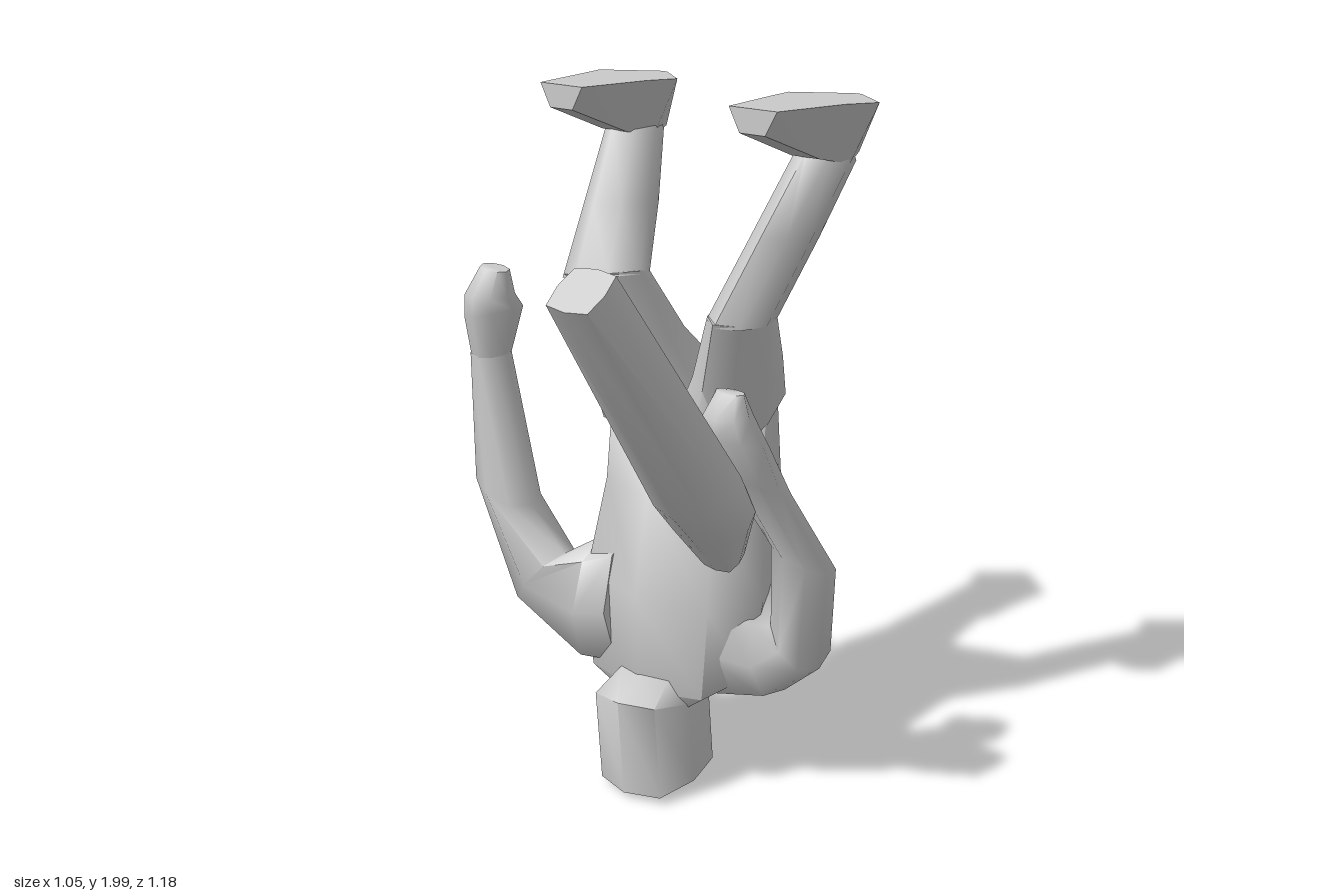
import * as THREE from 'three';
import { toCreasedNormals } from 'three/addons/utils/BufferGeometryUtils.js';

const material = new THREE.MeshStandardMaterial({ color: 0xcccccc });

// Octagonal ring around a centre, spanned by half vectors u and v; corner sets how boxy it is
function ring(c, u, v, corner) {
  return Array.from({ length: 8 }, (_, i) => {
    const a = (i * Math.PI) / 4;
    const k = i % 2 ? corner / Math.SQRT1_2 : 1;
    return c.map((n, j) => n + k * (Math.cos(a) * u[j] + Math.sin(a) * v[j]));
  });
}

// Ring from its two side points (xa, ya), (xb, yb), its z centre, half depth, slope dy/dz and own corner
function section(corner, [xa, ya, xb, yb, z, rz, slope = 0, c = corner]) {
  return ring([(xa + xb) / 2, (ya + yb) / 2, z], [(xb - xa) / 2, (yb - ya) / 2, 0], [0, slope * rz, rz], c);
}

// Skin a row of rings, close both ends and turn the faces outward
function loft(name, rings, crease = 1.15) {
  const n = rings[0].length;
  const tris = [];
  const mid = (r) => [0, 1, 2].map((j) => r.reduce((s, p) => s + p[j], 0) / n);
  const first = rings[0];
  const last = rings[rings.length - 1];
  const m0 = mid(first);
  const m1 = mid(last);
  for (let i = 0; i < n; i++) {
    const k = (i + 1) % n;
    for (let r = 0; r < rings.length - 1; r++) {
      const [a, b] = [rings[r], rings[r + 1]];
      tris.push([a[i], a[k], b[k]], [a[i], b[k], b[i]]);
    }
    tris.push([m0, first[k], first[i]], [m1, last[i], last[k]]);
  }
  const volume = tris.reduce((s, [a, b, c]) =>
    s + new THREE.Vector3(...a).dot(new THREE.Vector3(...b).cross(new THREE.Vector3(...c))), 0);
  if (volume < 0) tris.forEach((t) => t.reverse());
  const geometry = new THREE.BufferGeometry();
  geometry.setAttribute('position', new THREE.Float32BufferAttribute(tris.flat(2), 3));
  const mesh = new THREE.Mesh(toCreasedNormals(geometry, crease), material);
  mesh.name = name;
  return mesh;
}

const limb = (name, rows, corner = 0.73) => loft(name, rows.map((r) => section(corner, r)));

// Foot: trapezoid slices along z, with the wide sole facing up
function foot(name, x, toeX) {
  const slices = [
    // z, x, sole half width, instep half width, instep height, sole height
    [-0.125, toeX, 0.075, 0.04, 1.935, 2.0],
    [-0.36, (x + toeX) / 2, 0.115, 0.045, 1.845, 1.995],
    [-0.47, x, 0.143, 0.06, 1.82, 1.99],
    [-0.59, x, 0.012, 0.012, 1.83, 1.985],
  ];
  return loft(name, slices.map(([z, cx, w, b, lo, hi]) =>
    [[cx - w, hi, z], [cx + w, hi, z], [cx + b, lo, z], [cx - b, lo, z]]), 0.95);
}

export function createModel() {
  const group = new THREE.Group();

  // Upside-down head and torso
  group.add(
    limb('head', [
      [0.0, 0.008, 0.12, 0.008, -0.07, 0.05],
      [-0.065, 0.04, 0.205, 0.045, -0.105, 0.158, -0.1],
      [-0.07, 0.28, 0.2, 0.3, -0.085, 0.16, 0.2],
      [-0.04, 0.37, 0.17, 0.37, -0.13, 0.1],
    ], 0.8),
    limb('torso', [
      [-0.08, 0.29, 0.2, 0.29, -0.16, 0.1, -0.3],
      [-0.21, 0.36, 0.31, 0.37, -0.22, 0.19, -0.25],
      [-0.24, 0.62, 0.33, 0.6, -0.25, 0.225],
      [-0.23, 0.88, 0.26, 0.88, -0.335, 0.22],
      [-0.28, 1.08, 0.23, 1.08, -0.38, 0.18, -0.4],
      [-0.12, 1.14, 0.11, 1.14, -0.41, 0.1, -0.3],
    ], 0.77),
  );

  // Arms, from shoulder to hand
  group.add(
    limb('rightArm', [
      [-0.06, 0.3, -0.08, 0.75, -0.2, 0.175],
      [-0.19, 0.29, -0.18, 0.7, -0.17, 0.15],
      [-0.38, 0.49, -0.24, 0.66, -0.05, 0.1],
      [-0.525, 0.87, -0.35, 0.79, -0.03, 0.095],
      [-0.525, 1.24, -0.41, 1.25, 0.0, 0.055],
    ]),
    limb('rightHand', [
      [-0.52, 1.23, -0.41, 1.24, 0.0, 0.055],
      [-0.525, 1.35, -0.38, 1.38, 0.0, 0.09],
      [-0.515, 1.42, -0.38, 1.42, 0.02, 0.07],
      [-0.48, 1.5, -0.39, 1.49, 0.01, 0.035],
    ]),
    limb('leftArm', [
      [0.14, 0.29, 0.16, 0.75, -0.25, 0.18],
      [0.22, 0.29, 0.24, 0.72, -0.26, 0.17, -0.2],
      [0.38, 0.32, 0.31, 0.6, -0.3, 0.13, -0.25],
      [0.48, 0.41, 0.35, 0.56, -0.32, 0.115],
      [0.525, 0.73, 0.37, 0.79, -0.27, 0.107, 0.3],
      [0.46, 1.0, 0.33, 1.0, -0.125, 0.105, 0.4],
      [0.455, 1.14, 0.26, 1.14, -0.05, 0.09, 0.3],
      [0.43, 1.22, 0.29, 1.22, -0.02, 0.06],
      [0.41, 1.285, 0.32, 1.285, -0.02, 0.025],
    ]),
  );

  // Long slab held beside the left arm
  group.add(loft('slab', [
    ring([0.34, 0.8, -0.045], [0.05, 0, 0], [0, -0.02, 0.04], 0.85),
    ring([0.335, 0.92, -0.005], [0.108, 0, 0], [0, -0.035, 0.09], 0.77),
    ring([0.335, 1.03, 0.075], [0.11, 0, 0], [0, -0.05, 0.1], 0.77),
    ring([0.33, 1.66, 0.53], [0.073, 0, 0], [0, -0.04, 0.06], 0.87),
  ]));

  // Legs: bent at the knee, shins leaning back
  group.add(
    limb('rightThigh', [
      [-0.28, 1.07, -0.01, 1.13, -0.38, 0.18, -0.35, 0.77],
      [-0.31, 1.26, -0.05, 1.28, -0.3, 0.165, -0.15, 0.7],
      [-0.33, 1.46, -0.085, 1.5, -0.205, 0.138, 0.1],
    ], 0.65),
    limb('rightShin', [
      [-0.33, 1.45, -0.085, 1.49, -0.205, 0.135, 0.1],
      [-0.355, 1.64, -0.155, 1.66, -0.33, 0.125, 0.1],
      [-0.385, 1.84, -0.235, 1.85, -0.46, 0.1, 0.2],
      [-0.36, 1.9, -0.26, 1.9, -0.45, 0.06],
    ], 0.68),
    limb('leftThigh', [
      [-0.02, 1.13, 0.23, 1.06, -0.38, 0.18, -0.4, 0.77],
      [0.06, 1.25, 0.265, 1.23, -0.335, 0.165, -0.2, 0.7],
      [0.13, 1.42, 0.295, 1.4, -0.28, 0.135],
    ], 0.65),
    limb('leftShin', [
      [0.132, 1.41, 0.293, 1.39, -0.28, 0.132],
      [0.2, 1.63, 0.36, 1.62, -0.38, 0.12, 0.1],
      [0.265, 1.84, 0.42, 1.83, -0.465, 0.1, 0.2],
      [0.3, 1.9, 0.4, 1.9, -0.455, 0.06],
    ], 0.68),
    foot('rightFoot', -0.31, -0.3),
    foot('leftFoot', 0.355, 0.34),
  );
  return group;
}
